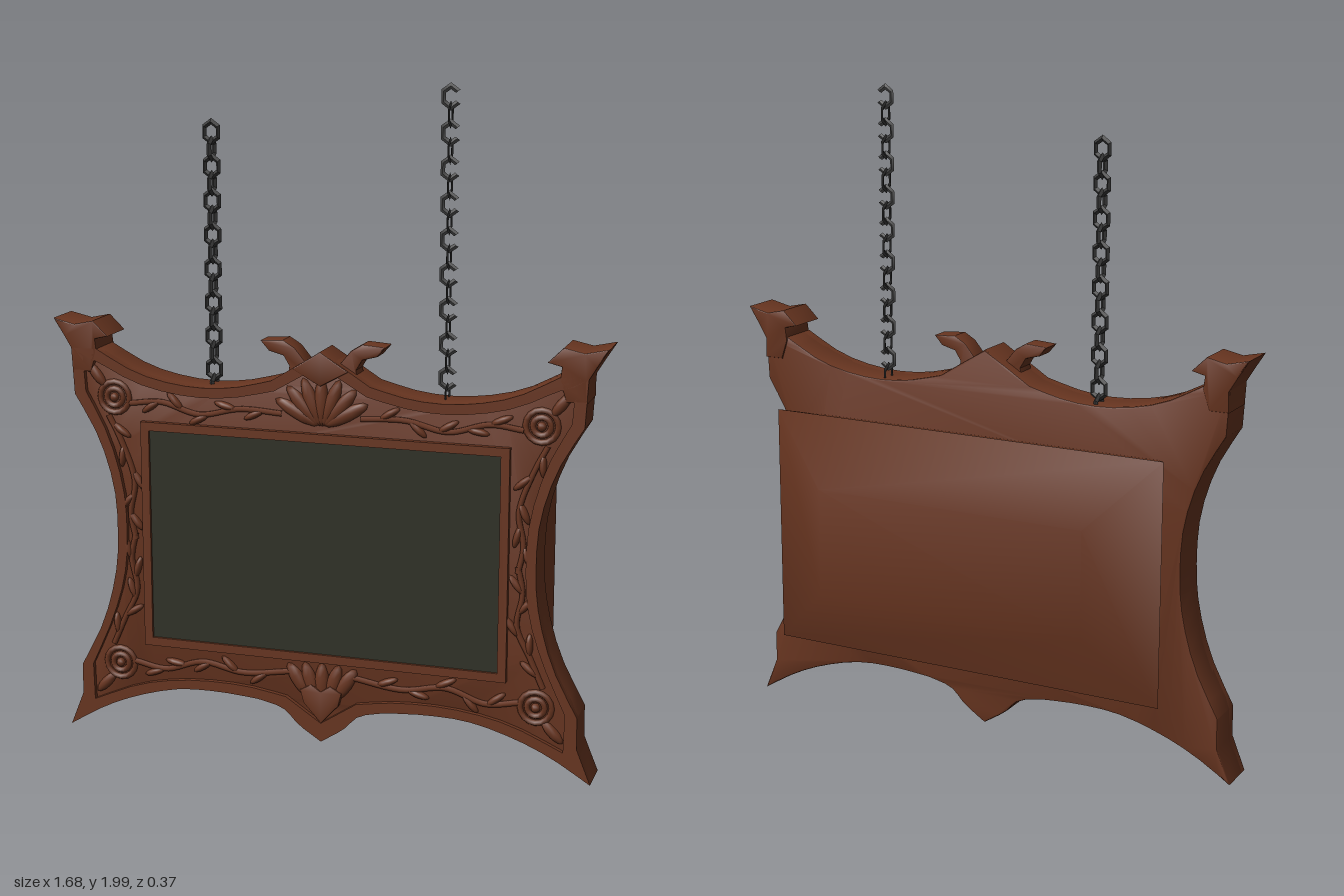
import * as THREE from 'three';
import { toCreasedNormals } from 'three/addons/utils/BufferGeometryUtils.js';

const wood = new THREE.MeshStandardMaterial({ color: 0x683520 });
wood.name = 'carved wood';
const slate = new THREE.MeshStandardMaterial({ color: 0x2f3026 });
slate.name = 'dark slate';
const iron = new THREE.MeshStandardMaterial({ color: 0x393939 });
iron.name = 'iron';

const V2 = (p) => new THREE.Vector2(p[0], p[1]);

function add(parent, name, geometry, material, x = 0, y = 0, z = 0) {
  const mesh = new THREE.Mesh(geometry, material);
  mesh.name = name;
  mesh.position.set(x, y, z);
  parent.add(mesh);
  return mesh;
}

// Flat outline extruded from z0 to z1 with an inward bevel
function slab(points, z0, z1, bevel) {
  const geo = new THREE.ExtrudeGeometry(new THREE.Shape(points), {
    depth: z1 - z0 - 2 * bevel, bevelThickness: bevel,
    bevelSize: bevel, bevelOffset: -bevel, bevelSegments: 2,
  });
  geo.translate(0, 0, z0 + bevel);
  return toCreasedNormals(geo, 0.6);
}

// Raised rim between an outline and a hole
function rim(points, hole, z0, z1) {
  const shape = new THREE.Shape(points);
  shape.holes.push(new THREE.Path(hole));
  const geo = new THREE.ExtrudeGeometry(shape, { depth: z1 - z0, bevelEnabled: false });
  geo.translate(0, 0, z0);
  return toCreasedNormals(geo, 0.6);
}

const rect = (w, y0, y1) => [[-w, y0], [w, y0], [w, y1], [-w, y1]].map(V2);

// Joins the runs of the right half, smoothing the longer ones, and mirrors them.
// The first run starts and the last run ends on x = 0.
function symmetricOutline(runs) {
  const half = [];
  for (const run of runs) {
    const pts = run.map(V2);
    half.push(...(run.length > 3 ? new THREE.SplineCurve(pts).getPoints(run.length * 2) : pts).slice(0, -1));
  }
  const mirrored = half.slice(1).reverse().map((p) => new THREE.Vector2(-p.x, p.y));
  return [...half, V2(runs.at(-1).at(-1)), ...mirrored];
}

const boardRuns = [
  [[0, 0.042], [0.07, 0.088], [0.12, 0.135], [0.2, 0.155]],
  [[0.2, 0.155], [0.32, 0.163], [0.45, 0.158], [0.58, 0.125], [0.7, 0.075], [0.817, 0.005]],
  [[0.817, 0.005], [0.775, 0.11]],
  [[0.775, 0.11], [0.774, 0.205]],
  [[0.774, 0.205], [0.7, 0.35], [0.657, 0.5], [0.645, 0.63], [0.654, 0.78], [0.7, 0.93], [0.774, 1.06]],
  [[0.774, 1.06], [0.782, 1.2]],
  [[0.782, 1.2], [0.7, 1.2]],
  [[0.7, 1.2], [0.57, 1.135], [0.42, 1.105], [0.28, 1.108], [0.15, 1.138]],
  [[0.15, 1.138], [0.075, 1.185]],
  [[0.075, 1.185], [0, 1.23]],
];

// Sunken field that carries the carving
const fieldRuns = [
  [[0, 0.1], [0.11, 0.172]],
  [[0.11, 0.172], [0.25, 0.192], [0.42, 0.19], [0.58, 0.16], [0.735, 0.095]],
  [[0.735, 0.095], [0.738, 0.21]],
  [[0.738, 0.21], [0.67, 0.36], [0.627, 0.5], [0.615, 0.63], [0.624, 0.78], [0.67, 0.94], [0.738, 1.07]],
  [[0.738, 1.07], [0.745, 1.175]],
  [[0.745, 1.175], [0.7, 1.162], [0.57, 1.103], [0.42, 1.075], [0.28, 1.078], [0.14, 1.108]],
  [[0.14, 1.108], [0, 1.19]],
];

// Faceted box behind the sign, lofted through three rectangles
function backBox() {
  const rows = [[0.57, 0.5, 0.965, 0.055], [0.645, 0.265, 1.005, -0.088], [0.44, 0.465, 0.8, -0.187]];
  const pos = [], idx = [];
  for (const [w, y0, y1, z] of rows) pos.push(-w, y0, z, w, y0, z, w, y1, z, -w, y1, z);
  for (let r = 0; r < 2; r++) for (let i = 0; i < 4; i++) {
    const a = r * 4 + i, b = r * 4 + (i + 1) % 4;
    idx.push(a, a + 4, b, b, a + 4, b + 4);
  }
  idx.push(8, 10, 9, 8, 11, 10);
  const geo = new THREE.BufferGeometry();
  geo.setAttribute('position', new THREE.Float32BufferAttribute(pos, 3));
  geo.setIndex(idx);
  return toCreasedNormals(geo, 0.75);
}

// Low-relief leaf or petal lying on the front
function leaf(parent, name, x, y, length, width, angle, z = 0.168) {
  const m = add(parent, name, new THREE.SphereGeometry(1, 10, 6), wood, x, y, z);
  m.scale.set(length, width, 0.014);
  m.rotation.z = angle;
}

function rose(parent, x, y) {
  for (const r of [0.047, 0.026]) {
    add(parent, 'roseRing', new THREE.TorusGeometry(r, 0.009, 6, 16), wood, x, y, 0.168);
  }
  leaf(parent, 'roseCentre', x, y, 0.014, 0.014, 0, 0.17);
}

function vine(parent, pts, s) {
  const curve = new THREE.CatmullRomCurve3(pts.map(([x, y]) => new THREE.Vector3(s * x, y, 0)));
  add(parent, 'vine', new THREE.TubeGeometry(curve, 28, 0.009, 6), wood, 0, 0, 0.169);
  for (let i = 1; i < 6; i++) {
    const p = curve.getPoint(i / 6), t = curve.getTangent(i / 6);
    const side = i % 2 ? 1 : -1;
    leaf(parent, 'vineLeaf', p.x - t.y * side * 0.015, p.y + t.x * side * 0.015, 0.036, 0.011,
      Math.atan2(t.y, t.x) + side * 0.5);
  }
}

// Hanging chain of alternating six-sided links; with split, the front-facing links lack one side
function chain(parent, name, x, top, split, flatness) {
  const g = new THREE.Group();
  g.name = name;
  parent.add(g);
  for (let i = 0, y = top - 0.04; y > 1.08; i++, y -= 0.05) {
    const facing = i % 2 === 0;
    const sides = facing && split ? 5 : 6;
    const geo = new THREE.TorusGeometry(0.024, 0.0075, 4, sides, sides * Math.PI / 3);
    geo.rotateZ(Math.PI / 6);
    geo.scale(1, 1.25, flatness);
    const link = add(g, 'chainLink', toCreasedNormals(geo, 0.4), iron, x, y, 0.095);
    if (!facing) link.rotation.y = Math.PI / 2;
  }
}

export function createModel() {
  const root = new THREE.Group();
  root.name = 'hangingSign';

  // Sign board with raised outer and inner rims
  const outline = symmetricOutline(boardRuns);
  add(root, 'board', slab(outline, 0.055, 0.166, 0.006), wood);
  add(root, 'outerRim', rim(outline, symmetricOutline(fieldRuns), 0.15, 0.181), wood);
  add(root, 'innerRim', rim(rect(0.563, 0.29, 0.988), rect(0.537, 0.316, 0.962), 0.15, 0.183), wood);
  add(root, 'panel', new THREE.BoxGeometry(1.076, 0.648, 0.009), slate, 0, 0.639, 0.17);
  add(root, 'backBox', backBox(), wood);

  const carving = new THREE.Group();
  carving.name = 'carving';
  root.add(carving);

  for (const s of [-1, 1]) {
    const flip = ([x, y]) => V2([s * x, y]);
    // Curled leaf on each top corner
    const curl = [[0.78, 1.13], [0.778, 1.19], [0.805, 1.235], [0.838, 1.287], [0.77, 1.272], [0.71, 1.285],
      [0.664, 1.24], [0.705, 1.23], [0.7, 1.19], [0.72, 1.13]].map(flip);
    add(root, 'cornerCurl', slab(curl, 0.05, 0.181, 0.004), wood);
    // Leaf beside the centre peak
    const crest = [[0.03, 1.15], [0.048, 1.19], [0.085, 1.235], [0.12, 1.256], [0.19, 1.251], [0.165, 1.222],
      [0.12, 1.21], [0.102, 1.18], [0.11, 1.13]].map(flip);
    add(root, 'crestLeaf', slab(crest, 0.09, 0.158, 0.004), wood);

    // Flowers and vines of the border
    rose(carving, s * 0.65, 1.055);
    rose(carving, s * 0.65, 0.22);
    vine(carving, [[0.12, 1.04], [0.25, 1.045], [0.38, 1.02], [0.5, 1.05], [0.6, 1.04]], s);
    vine(carving, [[0.1, 0.25], [0.25, 0.23], [0.38, 0.25], [0.5, 0.215], [0.6, 0.23]], s);
    vine(carving, [[0.67, 1], [0.63, 0.92], [0.59, 0.8], [0.605, 0.7], [0.59, 0.62]], s);
    vine(carving, [[0.67, 0.28], [0.63, 0.37], [0.59, 0.46], [0.605, 0.56], [0.59, 0.64]], s);
    leaf(carving, 'cornerLeaf', s * 0.705, 1.12, 0.045, 0.016, s * 0.9);
    leaf(carving, 'cornerLeaf', s * 0.7, 0.15, 0.045, 0.016, -s * 0.8);
  }

  // Shell at the top centre and bud at the bottom centre
  for (let i = -3; i <= 3; i++) {
    const a = i * 0.36;
    leaf(carving, 'shellPetal', Math.sin(a) * 0.085, 1.015 + Math.cos(a) * 0.07, 0.075, 0.021, Math.PI / 2 - a);
  }
  const peak = [[0, 1.13], [0.085, 1.177], [0, 1.232], [-0.085, 1.177]].map(V2);
  add(root, 'peakBlock', slab(peak, 0.06, 0.183, 0.004), wood);
  for (let i = -2; i <= 2; i++) {
    leaf(carving, 'budPetal', i * 0.036, 0.225, 0.062, 0.022, Math.PI / 2 - i * 0.3);
  }
  const bud = [[0, 0.1], [0.055, 0.16], [0.065, 0.2], [0.03, 0.22], [0, 0.2], [-0.03, 0.22], [-0.065, 0.2],
    [-0.055, 0.16]].map(V2);
  add(carving, 'budHeart', slab(bud, 0.16, 0.183, 0.004), wood);

  chain(root, 'rightChain', -0.358, 1.885, false, 1);
  chain(root, 'leftChain', 0.357, 2.0, true, 0.4);
  return root;
}
